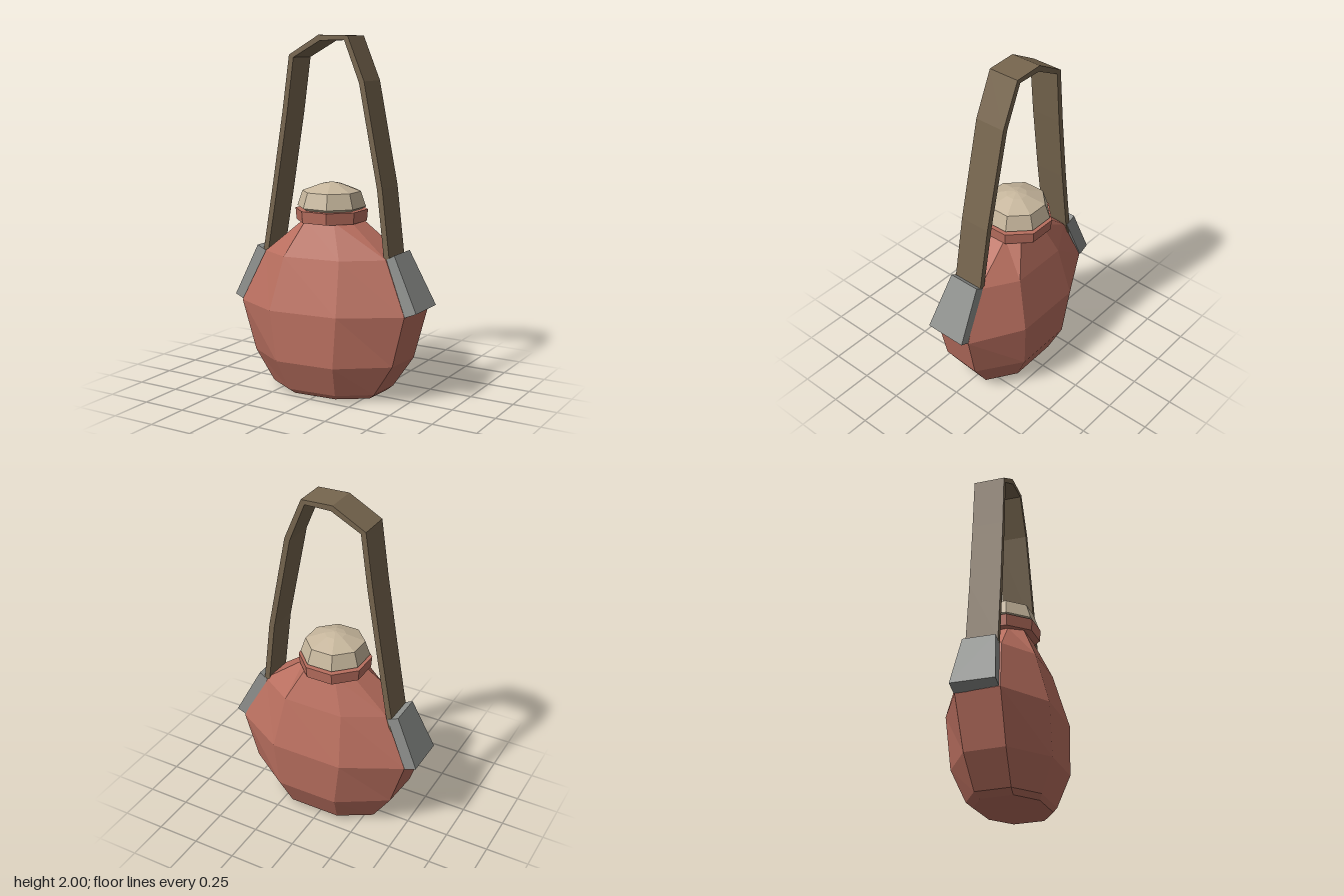
import * as THREE from 'three';

const material = (name, color) => {
  const m = new THREE.MeshStandardMaterial({ color, flatShading: true });
  m.name = name;
  return m;
};

// Closed faceted solid through a list of rings that share one point count
function loft(rings) {
  const tris = [];
  const n = rings[0].length;
  for (let i = 0; i < rings.length - 1; i++) {
    for (let j = 0; j < n; j++) {
      const k = (j + 1) % n;
      const [a, b, c, d] = [rings[i][j], rings[i][k], rings[i + 1][k], rings[i + 1][j]];
      tris.push([a, b, c], [a, c, d]);
    }
  }
  const fan = (ring, flip) => {
    const mid = ring.reduce((s, p) => s.add(p), new THREE.Vector3()).divideScalar(n);
    for (let j = 0; j < n; j++) {
      const k = (j + 1) % n;
      tris.push(flip ? [mid, ring[k], ring[j]] : [mid, ring[j], ring[k]]);
    }
  };
  fan(rings[0], true);
  fan(rings[rings.length - 1], false);
  // Turn every face outward if the rings were listed the other way round
  const volume = tris.reduce((s, [a, b, c]) => s + a.dot(b.clone().cross(c)), 0);
  if (volume < 0) tris.forEach((t) => t.reverse());
  const geometry = new THREE.BufferGeometry().setFromPoints(tris.flat());
  geometry.computeVertexNormals();
  return geometry;
}

const V = (x, y, z) => new THREE.Vector3(x, y, z);

// Long octagon, slightly sheared and tilted for a hand-made look
function bodyRing([y, cx, cz, w, a, d, s]) {
  return [[w, s], [a, d], [-a, d], [-w, s], [-w, -s], [-a, -d], [a, -d], [w, -s]]
    .map(([x, z]) => V(cx + x - 0.07 * z, y + 0.025 * x, cz + z - 0.025 * x));
}

// Regular octagon with flats on the axes, shared by the collar and lid
function roundRing([y, r]) {
  return Array.from({ length: 8 }, (_, i) => {
    const t = (i + 0.5) * Math.PI / 4;
    const R = r / Math.cos(Math.PI / 8);
    return V(-0.02 + R * Math.cos(t), y, -0.02 + R * Math.sin(t));
  });
}

export function createModel() {
  const group = new THREE.Group();
  const clay = material('red clay', 0xb96f5f);
  const leather = material('brown leather', 0x77664f);
  const metal = material('grey metal', 0x8d8f8c);
  const bone = material('pale lid', 0xc6b69c);
  const add = (name, geometry, mat) => {
    const mesh = new THREE.Mesh(geometry, mat);
    mesh.name = name;
    group.add(mesh);
  };

  // Flask: y, centre x, centre z, half width, front edge x, half depth, side edge z
  add('flaskBody', loft([
    [0.01, 0.02, 0.02, 0.285, 0.13, 0.185, 0.09],
    [0.035, 0.01, 0.015, 0.325, 0.15, 0.21, 0.1],
    [0.21, 0.01, 0.01, 0.44, 0.18, 0.285, 0.115],
    [0.495, 0, 0, 0.52, 0.21, 0.295, 0.125],
    [0.79, 0, -0.005, 0.385, 0.175, 0.215, 0.09],
    [0.985, -0.005, -0.015, 0.145, 0.09, 0.135, 0.06],
  ].map(bodyRing)), clay);

  // Collar and lid
  add('collar', loft([[0.975, 0.185], [1.04, 0.19]].map(roundRing)), clay);
  add('lid', loft([[1.035, 0.15], [1.055, 0.18], [1.14, 0.153], [1.18, 0.055], [1.19, 0.008]]
    .map(roundRing)), bone);

  // Carrying strap: x, y, centre z along the band
  const path = [
    [-0.42, 0.7, -0.005], [-0.395, 0.8, -0.008], [-0.335, 1.17, -0.015], [-0.275, 1.57, -0.025],
    [-0.235, 1.885, -0.033], [-0.06, 1.985, -0.043], [0.105, 1.985, -0.048],
    [0.205, 1.75, -0.045], [0.325, 1.18, -0.035], [0.375, 0.82, -0.023], [0.395, 0.7, -0.02],
  ];
  const bandRings = path.map(([x, y, z], i) => {
    const p = path[Math.max(i - 1, 0)];
    const q = path[Math.min(i + 1, path.length - 1)];
    const len = Math.hypot(q[0] - p[0], q[1] - p[1]);
    const nx = -(q[1] - p[1]) / len * 0.016;
    const ny = (q[0] - p[0]) / len * 0.016;
    return [[1, 1], [1, -1], [-1, -1], [-1, 1]]
      .map(([o, f]) => V(x + o * nx, y + o * ny, z + f * 0.09));
  });
  add('strap', loft(bandRings), leather);

  // Flared clips joining strap and flask: [outer x, y], [inner x, y], back z, front z
  const clipRing = ([[ox, oy], [ix, iy], back, front]) =>
    [V(ox, oy, back), V(ox, oy, front), V(ix, iy, front), V(ix, iy, back)];
  add('rightClip', loft([
    [[-0.582, 0.51], [-0.515, 0.48], -0.115, 0.13],
    [[-0.455, 0.805], [-0.39, 0.775], -0.1, 0.085],
  ].map(clipRing)), metal);
  add('leftClip', loft([
    [[0.58, 0.535], [0.51, 0.505], -0.135, 0.11],
    [[0.425, 0.83], [0.375, 0.8], -0.115, 0.07],
  ].map(clipRing)), metal);

  return group;
}
